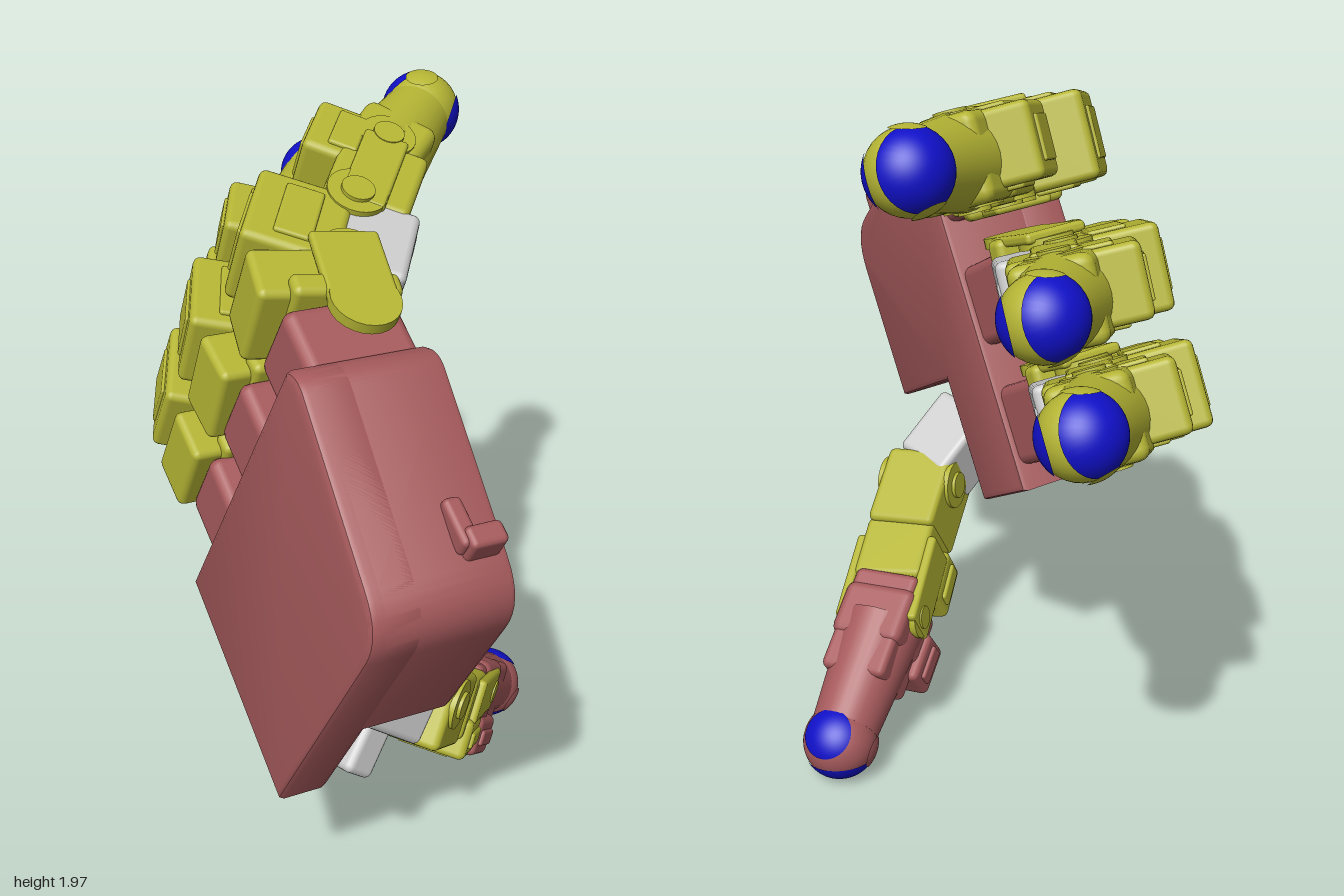
import * as THREE from 'three';
import { RoundedBoxGeometry } from 'three/addons/geometries/RoundedBoxGeometry.js';
import { toCreasedNormals } from 'three/addons/utils/BufferGeometryUtils.js';

const mat = (color) => new THREE.MeshStandardMaterial({ color });
const RED = mat(0xa65a5c), YELLOW = mat(0xb5b535), BLUE = mat(0x1010c8), GREY = mat(0xcccccc);
const V = (x, y, z) => new THREE.Vector3(x, y, z);

function add(parent, name, geometry, material, x = 0, y = 0, z = 0) {
  const mesh = new THREE.Mesh(geometry, material);
  mesh.name = name;
  mesh.position.set(x, y, z);
  parent.add(mesh);
  return mesh;
}

function box(parent, name, material, size, pos, r = 0.02) {
  return add(parent, name, new RoundedBoxGeometry(...size, 2, r), material, ...pos);
}

// Short cylinder lying across the limb
function disc(parent, name, material, r, width, x, y, z) {
  add(parent, name, new THREE.CylinderGeometry(r, r, width, 24), material, x, y, z).rotation.z = Math.PI / 2;
}

// Hinge pin with a raised cap at each end
function hinge(parent, material, r, width, y, z = 0) {
  disc(parent, 'hinge', material, r, width, 0, y, z);
  disc(parent, 'hingeCap', material, r * 0.55, width + 0.02, 0, y, z);
}

// Group at a, with y pointing to b and z on the back side
function limb(parent, name, a, b, back) {
  const g = new THREE.Group();
  const y = b.clone().sub(a).normalize();
  const x = y.clone().cross(back).normalize();
  const z = x.clone().cross(y);
  g.name = name;
  g.quaternion.setFromRotationMatrix(new THREE.Matrix4().makeBasis(x, y, z));
  g.position.copy(a);
  g.userData.length = a.distanceTo(b);
  parent.add(g);
  return g;
}

// Rounded end segment: ball with coloured pads between side lobes
function fingertip(g, material) {
  const len = g.userData.length, r = 0.104;
  box(g, 'tipRoot', material, [0.22, 0.17, 0.21], [0, 0.04, 0], 0.03);
  add(g, 'tipBody', new THREE.CylinderGeometry(0.096, 0.12, len - 0.08, 32), material, 0, len / 2, 0);
  add(g, 'tipBall', new THREE.SphereGeometry(r, 32, 20), material, 0, len, 0);
  const caps = [
    ['frontPad', BLUE, 0.003, 0.72, V(0, 0.2, -1)], ['endPad', BLUE, 0.003, 1.2, V(0, 0.6, 0.8)],
    ['sideLobe', material, 0.005, 0.42, V(0.9, 0.05, 0.25)], ['sideLobe', material, 0.005, 0.42, V(-0.9, 0.05, 0.25)],
  ];
  for (const [name, m, rise, angle, dir] of caps) {
    const cap = new THREE.SphereGeometry(r + rise, 32, 14, 0, Math.PI * 2, 0, angle);
    add(g, name, cap, m, 0, len, 0).quaternion.setFromUnitVectors(V(0, 1, 0), dir.normalize());
  }
}

// Actuator housing with a raised lid and side rails
function housing(g, name, material, size, pos) {
  const [w, l, h] = size, [x, y, z] = pos;
  box(g, name, material, size, pos);
  box(g, name + 'Lid', material, [w * 0.6, l * 0.6, 0.016], [x, y, z + h / 2], 0.006);
  for (const s of [-1, 1]) box(g, name + 'Rail', material, [0.02, l * 0.7, h * 0.4], [x + s * w / 2, y, z], 0.008);
}

function finger(hand, x, y, fan, curl) {
  // Knuckle block fixed to the palm
  box(hand, 'knuckle', RED, [0.23, 0.33, 0.3], [x, y - 0.18, -0.21], 0.03);
  const f = new THREE.Group();
  f.name = 'finger';
  f.position.set(x, y, -0.22);
  f.rotation.set(-curl, 0, fan, 'ZXY');
  hand.add(f);
  const back = V(0, 0, 1);
  const j = [V(0, 0.12, -0.06), V(0, 0.34, -0.16), V(0, 0.56, -0.28), V(0, 0.80, -0.47)];
  // Bracket around the knuckle, with a long rounded arm on the outer side
  box(f, 'bracketBar', YELLOW, [0.29, 0.07, 0.28], [0, 0, -0.02]);
  box(f, 'bracketBack', YELLOW, [0.24, 0.16, 0.24], [0, 0.06, 0.08]);
  box(f, 'bracketArm', YELLOW, [0.03, 0.24, 0.16], [-0.13, 0.05, -0.04], 0.012);
  box(f, 'bracketArm', YELLOW, [0.03, 0.24, 0.18], [0.135, 0.05, -0.05], 0.012);
  disc(f, 'bracketLobe', YELLOW, 0.09, 0.03, 0.135, -0.06, -0.05);
  // Lower section
  const a = limb(f, 'lowerSection', j[0], j[1], back);
  hinge(a, YELLOW, 0.075, 0.26, 0);
  housing(a, 'lowerHousing', YELLOW, [0.23, 0.26, 0.25], [0, 0.09, 0.145]);
  box(a, 'lowerCore', GREY, [0.21, 0.25, 0.21], [0, 0.11, -0.05]);
  box(a, 'coreStep', GREY, [0.1, 0.08, 0.02], [0, 0.18, -0.15], 0.006);
  // Middle section
  const b = limb(f, 'middleSection', j[1], j[2], back);
  hinge(b, YELLOW, 0.08, 0.24, -0.01, 0.02);
  box(b, 'middleCore', YELLOW, [0.22, 0.25, 0.23], [0, 0.1, -0.01]);
  for (const s of [-1, 1]) box(b, 'linkPlate', YELLOW, [0.025, 0.28, 0.12], [s * 0.11, 0.1, 0], 0.01);
  housing(b, 'middleHousing', YELLOW, [0.19, 0.2, 0.2], [0.01, 0.215, 0.1]);
  // Tip section
  const c = limb(f, 'tipSection', j[2], j[3], back);
  hinge(c, YELLOW, 0.075, 0.23, 0);
  fingertip(c, YELLOW);
}

function thumb(root) {
  const back = V(0, -0.85, 0.5);
  const p = [V(0.33, 0.7, 0.37), V(0.38, 0.58, 0.24), V(0.33, 0.44, 0.04), V(0.27, 0.335, -0.14), V(0.21, 0.105, -0.47)];
  const a = limb(root, 'thumbBase', p[0], p[1], back);
  box(a, 'thumbBaseCore', GREY, [0.19, 0.22, 0.2], [0, 0.05, 0]);
  box(a, 'thumbBaseFoot', GREY, [0.13, 0.1, 0.16], [0, 0.02, 0.15]);
  const b = limb(root, 'thumbLower', p[1], p[2], back);
  box(b, 'thumbLowerCore', YELLOW, [0.21, 0.25, 0.21], [0, 0.08, 0]);
  hinge(b, YELLOW, 0.07, 0.23, 0.03, -0.03);
  const c = limb(root, 'thumbMiddle', p[2], p[3], back);
  box(c, 'thumbMiddleCore', YELLOW, [0.21, 0.2, 0.18], [0, 0.04, 0]);
  housing(c, 'thumbHousing', YELLOW, [0.25, 0.17, 0.12], [0, 0.06, 0.09]);
  for (const s of [-1, 1]) box(c, 'thumbLinkPlate', YELLOW, [0.03, 0.28, 0.13], [s * 0.11, 0.14, -0.02], 0.012);
  hinge(c, YELLOW, 0.06, 0.24, 0.24, -0.02);
  const d = limb(root, 'thumbTip', p[3], p[4], back);
  box(d, 'thumbTipCore', RED, [0.2, 0.32, 0.19], [0, 0.07, 0]);
  housing(d, 'thumbTipHousing', RED, [0.25, 0.15, 0.12], [0, 0.09, 0.12]);
  fingertip(d, RED);
}

// Extruded palm layer between two depths; the outline is pulled in by the bevel
function palmLayer(hand, name, points, z0, z1) {
  const bevel = 0.018, shape = new THREE.Shape();
  points.forEach(([x, y, r = 0], i) => {
    const n = points.length, at = V(x, y, 0);
    const toward = ([px, py]) => at.clone().add(V(px - x, py - y, 0).setLength(r));
    const s = toward(points[(i + n - 1) % n]), e = toward(points[(i + 1) % n]);
    if (i) shape.lineTo(s.x, s.y); else shape.moveTo(s.x, s.y);
    if (r) shape.quadraticCurveTo(x, y, e.x, e.y);
  });
  const geo = new THREE.ExtrudeGeometry(shape, {
    depth: z1 - z0 - 2 * bevel, bevelSize: bevel, bevelOffset: -bevel, bevelThickness: bevel, bevelSegments: 2, curveSegments: 8,
  });
  add(hand, name, toCreasedNormals(geo, 0.6), RED, 0, 0, z0 + bevel);
}

export function createModel() {
  const root = new THREE.Group();
  root.name = 'roboticHand';

  // Hand frame: x across the palm, y towards the fingers, z out of the back
  const hand = new THREE.Group();
  hand.name = 'hand';
  const x = V(0.454, 0.873, 0.175).normalize();
  const z = x.clone().cross(V(-0.71, 0.555, -0.43)).normalize();
  const y = z.clone().cross(x);
  hand.quaternion.setFromRotationMatrix(new THREE.Matrix4().makeBasis(x, y, z));
  hand.position.set(-0.25, 0.82, 0.37);
  root.add(hand);

  // Palm: full back plate, and a front layer cut away for the thumb
  const far = [[0.85, -0.655, 0.12], [1.01, -0.04, 0.05], [0.97, 0]];
  palmLayer(hand, 'palmBack', [[-0.02, 0], [-0.045, -0.655], ...far], -0.14, 0.005);
  palmLayer(hand, 'palmFront', [[-0.045, -0.01], [-0.05, -0.3], [0.32, -0.3], [0.32, -0.655], ...far], -0.38, -0.015);
  // Small hooked lug on the palm's edge
  box(hand, 'edgeLug', RED, [0.1, 0.06, 0.1], [0.9, -0.5, -0.31], 0.015);
  box(hand, 'edgeLugArm', RED, [0.06, 0.13, 0.05], [0.91, -0.45, -0.27], 0.015);

  finger(hand, 0.14, 0.235, 0.05, 0);
  finger(hand, 0.49, 0.235, 0.15, 0);
  finger(hand, 0.85, 0.19, 0.11, 0.19);
  thumb(root);
  return root;
}
